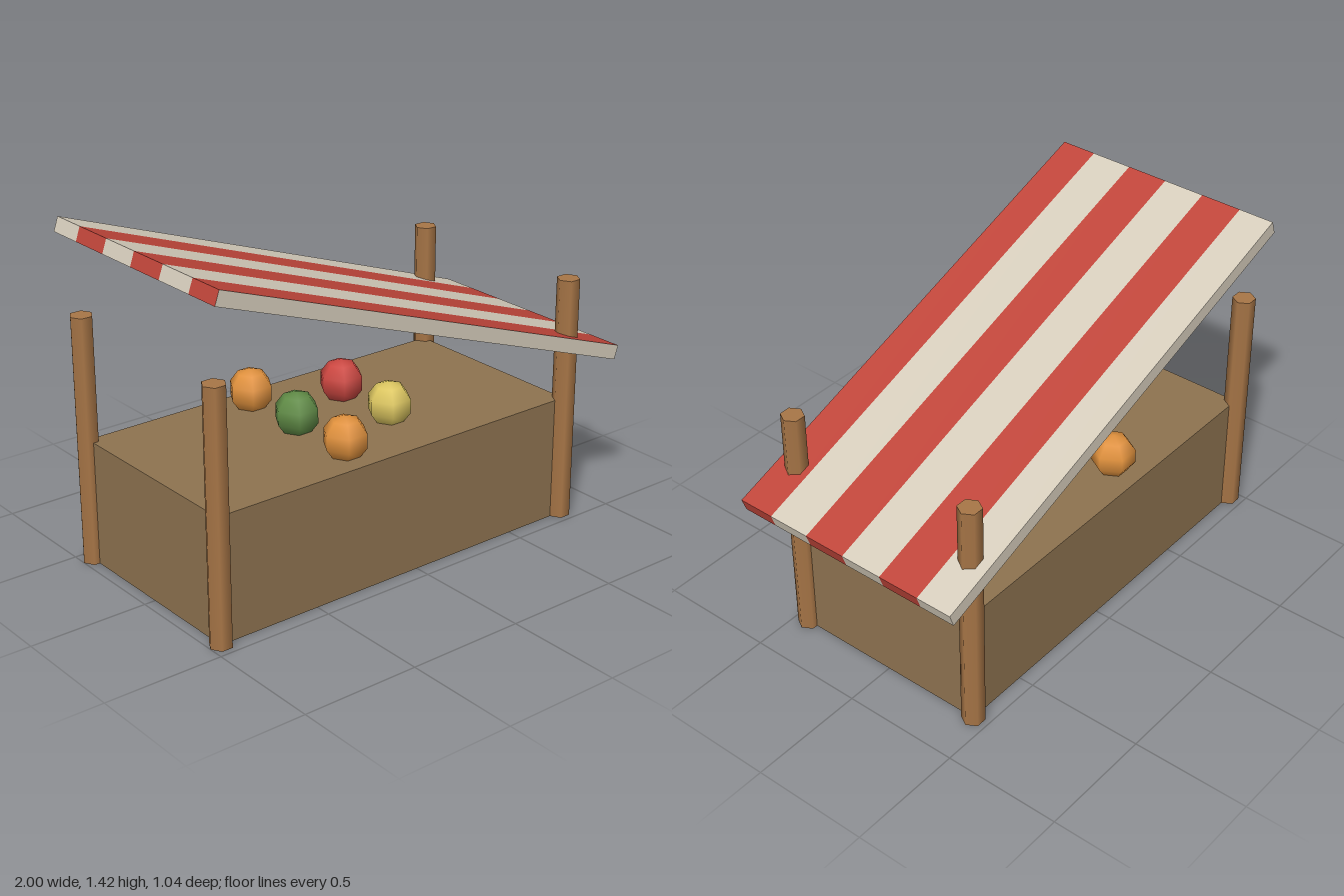
import * as THREE from 'three';

const mat = (name, color) => {
  const m = new THREE.MeshStandardMaterial({ color });
  m.name = name;
  return m;
};

export function createModel() {
  const stall = new THREE.Group();
  stall.name = 'marketStall';

  const counterWood = mat('counter wood', 0x8e7350);
  const postWood = mat('post wood', 0xa87647);
  const cream = mat('awning cream', 0xd6cdbc);
  const red = mat('awning red', 0xc0453a);
  const fruit = {
    orange: mat('orange fruit', 0xe0913d),
    yellow: mat('yellow fruit', 0xdcc660),
    green: mat('green fruit', 0x5f8a45),
    red: mat('red fruit', 0xcb4640),
  };

  const add = (parent, name, geometry, material, x, y, z) => {
    const mesh = new THREE.Mesh(geometry, material);
    mesh.name = name;
    mesh.position.set(x, y, z);
    parent.add(mesh);
    return mesh;
  };

  // Counter, offset to the right under the awning
  const cx = -0.085, halfW = 0.8675, halfD = 0.434, counterH = 0.525;
  add(stall, 'counter', new THREE.BoxGeometry(halfW * 2, counterH, halfD * 2), counterWood, cx, counterH / 2, 0);

  // Six-sided posts centred on the counter corners
  const postH = 1.045;
  const postGeo = new THREE.CylinderGeometry(0.0477, 0.0477, postH, 6).rotateY(Math.PI / 2);
  for (const sx of [-1, 1]) {
    for (const sz of [-1, 1]) {
      add(stall, `${sz > 0 ? 'front' : 'back'}${sx > 0 ? 'Left' : 'Right'}Post`,
        postGeo, postWood, cx + sx * halfW, postH / 2, sz * halfD);
    }
  }

  // Sloping awning: one slab per stripe, with cream long edges
  const awning = new THREE.Group();
  awning.name = 'awning';
  awning.position.set(0.001, 1.046, 0);
  awning.rotation.z = -0.337;
  stall.add(awning);
  const edges = [0.52, 0.364, 0.182, 0, -0.183, -0.364, -0.52];
  for (let i = 0; i < 6; i++) {
    const m = i % 2 ? cream : red;
    const faces = [m, m, m, m, cream, cream];
    add(awning, `awningStripe${i + 1}`, new THREE.BoxGeometry(2.098, 0.06, edges[i] - edges[i + 1]),
      faces, 0, 0, (edges[i] + edges[i + 1]) / 2);
  }

  // Fruit in a zigzag from front to back
  const fruitGeo = new THREE.SphereGeometry(0.0954, 6, 5);
  ['orange', 'yellow', 'green', 'red', 'orange'].forEach((kind, i) => {
    add(stall, `${kind}Fruit${i + 1}`, fruitGeo, fruit[kind],
      cx + (i % 2 ? 0.1735 : -0.1735), 0.594, (2 - i) * 0.152);
  });

  return stall;
}
